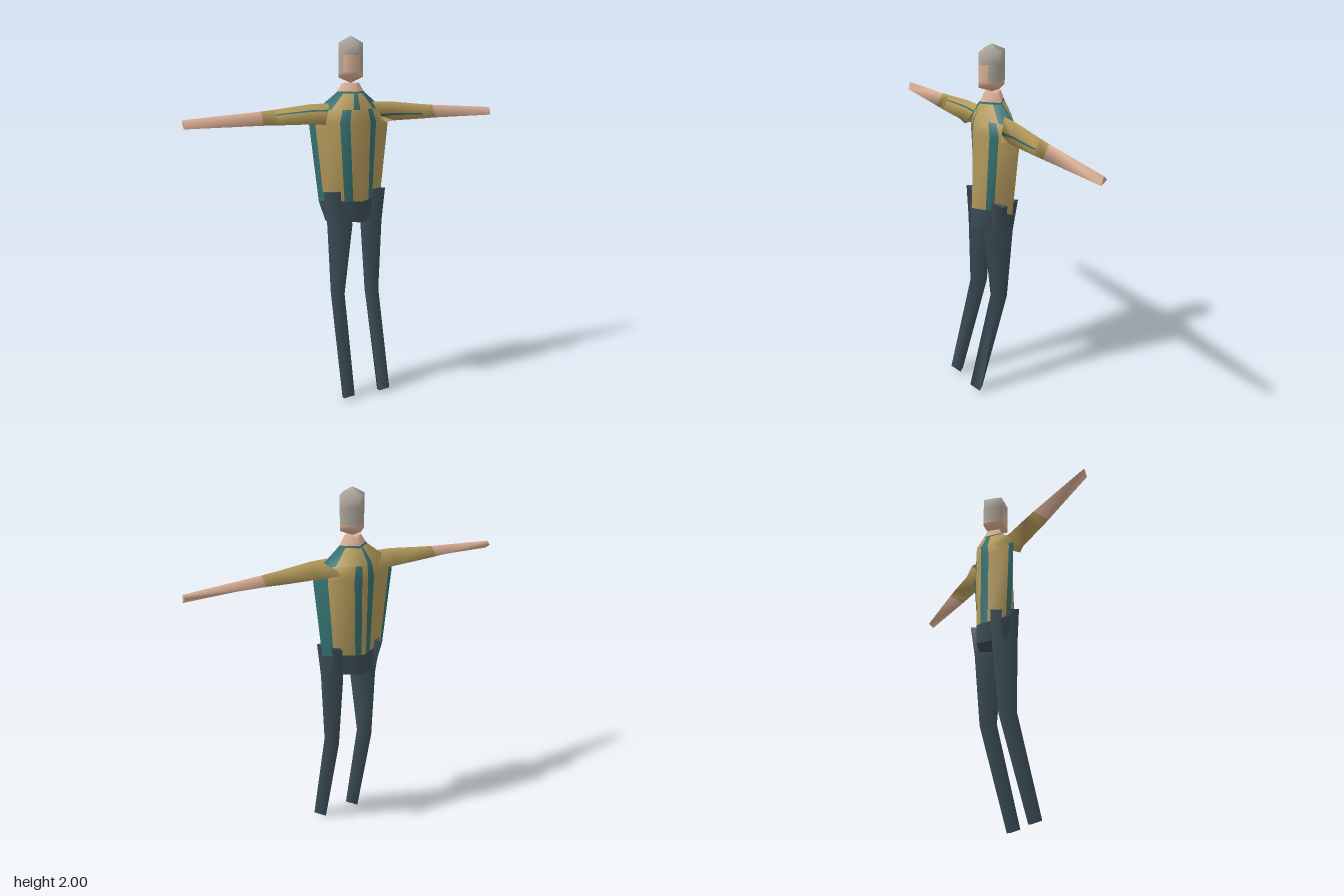
import * as THREE from 'three';

const mat = (name, color) => {
  const m = new THREE.MeshStandardMaterial({ color });
  m.name = name;
  return m;
};

export function createModel() {
  const M = {
    shirt: mat('mustard shirt', 0xb2985a),
    teal: mat('teal stripe', 0x357070),
    pants: mat('dark slate trousers', 0x3c4d57),
    skin: mat('skin', 0xd9ae95),
    hair: mat('grey hair', 0xaca59a),
  };
  const model = new THREE.Group();

  // Skin a stack of rings. colours(row, side) lists [endFraction, material] across each side.
  function loft(name, rings, colours, { mirror = false, bottom, top } = {}) {
    const n = rings[0].length;
    const pts = rings.flat().map(([x, y, z]) => new THREE.Vector3(mirror ? -x : x, y, z));
    const index = [];
    for (let i = 0; i < rings.length - 1; i++) {
      for (let j = 0; j < n; j++) {
        const a = i * n + j, b = i * n + (j + 1) % n;
        if (mirror) index.push(a, b + n, b, a, a + n, b + n);
        else index.push(a, b, b + n, a, b + n, a + n);
      }
    }
    // Smooth normals come from the coarse cage, then are interpolated over the colour strips
    const cage = new THREE.BufferGeometry().setFromPoints(pts);
    cage.setIndex(index);
    cage.computeVertexNormals();
    const nor = pts.map((_, k) => new THREE.Vector3().fromBufferAttribute(cage.attributes.normal, k));

    const buckets = new Map();
    const tri = (m, corners) => {
      if (!buckets.has(m)) buckets.set(m, { p: [], n: [] });
      const out = buckets.get(m);
      const order = mirror ? [corners[0], corners[2], corners[1]] : corners;
      for (const [p, q] of order) {
        out.p.push(p.x, p.y, p.z);
        out.n.push(q.x, q.y, q.z);
      }
    };
    const at = (a, b, t) => [pts[a].clone().lerp(pts[b], t), nor[a].clone().lerp(nor[b], t).normalize()];
    for (let i = 0; i < rings.length - 1; i++) {
      for (let j = 0; j < n; j++) {
        const a = i * n + j, b = i * n + (j + 1) % n;
        let t0 = 0;
        for (const [t1, m] of colours(i, j)) {
          const A = at(a, b, t0), B = at(a, b, t1), C = at(a + n, b + n, t1), D = at(a + n, b + n, t0);
          tri(m, [A, B, C]);
          tri(m, [A, C, D]);
          t0 = t1;
        }
      }
    }
    // Flat end caps
    const cap = (start, m, flip) => {
      for (let j = 1; j < n - 1; j++) {
        const c = [pts[start], pts[start + j], pts[start + j + 1]];
        if (flip) c.reverse();
        const q = c[1].clone().sub(c[0]).cross(c[2].clone().sub(c[0])).normalize();
        if (mirror) q.negate();
        tri(m, c.map((p) => [p, q]));
      }
    };
    if (bottom) cap(0, bottom, true);
    if (top) cap(pts.length - n, top, false);

    const group = new THREE.Group();
    group.name = name;
    for (const [m, d] of buckets) {
      const g = new THREE.BufferGeometry();
      g.setAttribute('position', new THREE.Float32BufferAttribute(d.p, 3));
      g.setAttribute('normal', new THREE.Float32BufferAttribute(d.n, 3));
      const mesh = new THREE.Mesh(g, m);
      mesh.name = `${name} ${m.name}`;
      group.add(mesh);
    }
    model.add(group);
  }

  // Diamond ring: front, left, back, right corners
  const diamond = (y, w, front, back, side) => [[0, y, front], [w, y, side], [0, y, back], [-w, y, side]];
  const { shirt, teal, pants, skin, hair } = M;

  // Torso: trouser band, striped shirt, shoulders, collar, neck
  const stripes = [
    [[0.35, shirt], [0.55, teal], [1, shirt]],
    [[0.28, teal], [0.8, shirt], [0.95, teal], [1, shirt]],
    [[0.12, shirt], [0.33, teal], [0.88, shirt], [1, teal]],
    [[0.12, teal], [0.6, shirt], [0.8, teal], [1, shirt]],
  ];
  const shoulders = [
    [[0.6, shirt], [1, teal]],
    [[0.35, teal], [1, shirt]],
    [[0.15, shirt], [0.35, teal], [1, shirt]],
    [[0.35, teal], [0.85, shirt], [1, teal]],
  ];
  loft('torso', [
    diamond(1.0, 0.155, 0.1, -0.15, -0.045),
    diamond(1.115, 0.195, 0.092, -0.151, -0.045),
    diamond(1.54, 0.247, 0.077, -0.158, -0.05),
    diamond(1.61, 0.205, 0.073, -0.157, -0.05),
    diamond(1.695, 0.092, 0.042, -0.113, -0.04),
    diamond(1.705, 0.082, 0.038, -0.108, -0.04),
    diamond(1.75, 0.052, 0.015, -0.09, -0.037),
  ], (i, j) => {
    if (i === 0) return [[1, pants]];
    if (i <= 2) return stripes[j];
    if (i === 3) return shoulders[j];
    return [[1, i === 4 ? teal : skin]];
  }, { bottom: pants, top: skin });

  // Head: pointed top and chin, hair lower at the back
  loft('head', [
    diamond(1.75, 0, -0.035, -0.035, -0.035),
    diamond(1.78, 0.075, 0.045, -0.115, -0.035),
    diamond(1.81, 0.075, 0.045, -0.115, -0.035),
    diamond(1.9, 0.075, 0.045, -0.115, -0.035),
    diamond(1.963, 0.075, 0.045, -0.115, -0.035),
    diamond(2.0, 0, -0.035, -0.035, -0.035),
  ], (i, j) => {
    if (i < 2) return [[1, skin]];
    if (i > 2) return [[1, hair]];
    return [[[0.45, skin], [1, hair]], [[1, hair]], [[1, hair]], [[0.25, hair], [1, skin]]][j];
  });

  // Arms: three-sided tapering tubes (top, front, back corners)
  const sleeve = (x, top, low, front, back) =>
    [[x, top, -0.03], [x, low, front], [x, low + 0.025, back]];
  const armRings = [
    [[0.13, 1.645, -0.03], [0.185, 1.535, 0.025], [0.13, 1.57, -0.125]],
    sleeve(0.25, 1.643, 1.54, 0.012, -0.1),
    sleeve(0.45, 1.622, 1.543, 0.01, -0.089),
    sleeve(0.53, 1.615, 1.545, 0.008, -0.083),
    sleeve(0.945, 1.588, 1.543, -0.018, -0.05),
  ];
  for (const mirror of [false, true]) {
    loft(mirror ? 'rightArm' : 'leftArm', armRings, (i, j) => {
      if (i === 3) return [[1, skin]];
      if (j !== 0 || i === 2) return [[1, shirt]];
      return mirror
        ? [[0.3, shirt], [0.38, teal], [1, shirt]]
        : [[0.62, shirt], [0.72, teal], [1, shirt]];
    }, { mirror, bottom: shirt, top: skin });
  }

  // Legs: three-sided tubes bent at the knee (outer front, inner front, back corners)
  const feet = {
    rightLeg: [[-0.147, 0.025, 0.158], [-0.07, 0.02, 0.138], [-0.123, 0.004, 0.09]],
    leftLeg: [[-0.157, 0.02, 0.138], [-0.08, 0.025, 0.158], [-0.104, 0.004, 0.09]],
  };
  for (const [name, foot] of Object.entries(feet)) {
    loft(name, [
      foot,
      [[-0.152, 0.58, 0.015], [-0.065, 0.58, 0.01], [-0.11, 0.57, -0.072]],
      [[-0.172, 0.98, 0.012], [-0.025, 0.98, 0.03], [-0.105, 0.98, -0.11]],
      [[-0.195, 1.165, 0.01], [-0.07, 1.165, 0.03], [-0.122, 1.16, -0.13]],
    ], () => [[1, pants]], { mirror: name === 'leftLeg', bottom: pants, top: pants });
  }

  return model;
}
